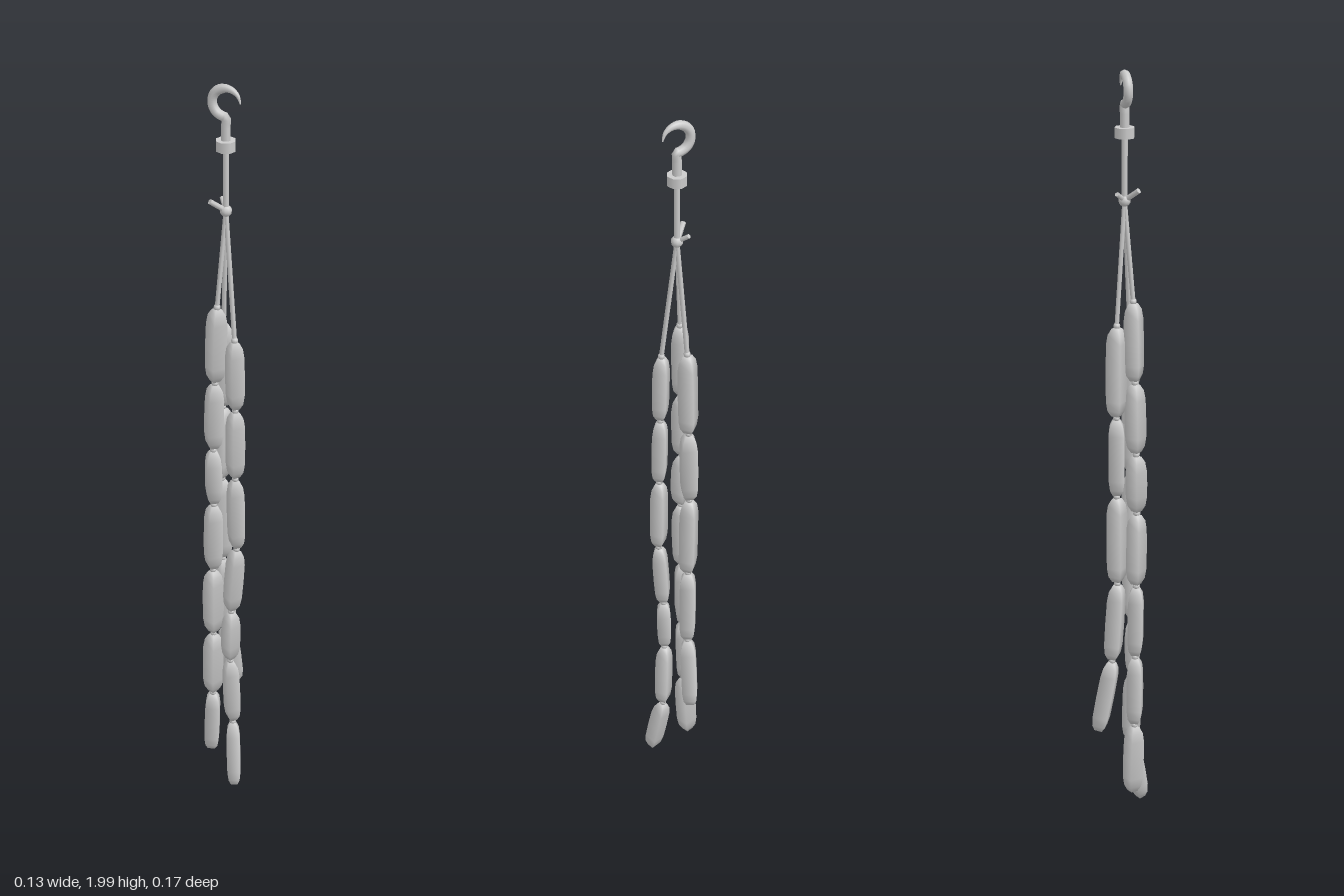
import * as THREE from 'three';

const material = new THREE.MeshStandardMaterial({ color: 0xcccccc, side: THREE.DoubleSide });
const V = (p) => new THREE.Vector3(...p);
const UP = new THREE.Vector3(0, 1, 0);

function add(parent, name, geometry, position = [0, 0, 0]) {
  const mesh = new THREE.Mesh(geometry, material);
  mesh.name = name;
  mesh.position.set(...position);
  parent.add(mesh);
  return mesh;
}

// Straight cord between two points
function cord(parent, name, a, b, radius) {
  const from = V(a), to = V(b), dir = to.clone().sub(from);
  const mesh = add(parent, name, new THREE.CylinderGeometry(radius, radius, dir.length(), 6));
  mesh.position.copy(from).add(to).multiplyScalar(0.5);
  mesh.quaternion.setFromUnitVectors(UP, dir.normalize());
}

// Four-sided smooth sausage between two points, twisted about its own axis
function sausage(parent, a, b, radius, twist) {
  const from = V(a), to = V(b), dir = to.clone().sub(from);
  const L = dir.length() - 0.006, h = L / 2;
  const half = [[0.004, h], [radius * 0.5, h - 0.003], [radius * 0.85, h - 0.018], [radius, h - 0.042]];
  const profile = [
    ...half.map(([r, y]) => new THREE.Vector2(r, -y)),
    new THREE.Vector2(radius * 1.03, 0),
    ...half.slice().reverse().map(([r, y]) => new THREE.Vector2(r, y)),
  ];
  const geometry = new THREE.LatheGeometry(profile, 4);
  geometry.rotateY(twist);
  const mesh = add(parent, 'sausage', geometry);
  mesh.position.copy(from).add(to).multiplyScalar(0.5);
  mesh.quaternion.setFromUnitVectors(UP, dir.normalize());
}

// Joint positions down each string of sausages
const chains = [
  { name: 'backChain', radius: 0.028, twist: 0.6, joints: [
    [-0.022, 1.365, -0.018], [-0.026, 1.125, -0.02], [-0.028, 0.915, -0.02], [-0.026, 0.675, -0.018],
    [-0.02, 0.455, -0.03], [-0.012, 0.25, -0.066]] },
  { name: 'leftChain', radius: 0.025, twist: 0.3, joints: [
    [0.026, 1.345, 0.028], [0.029, 1.15, 0.03], [0.031, 0.955, 0.034], [0.034, 0.745, 0.032],
    [0.02, 0.55, 0.034], [0.018, 0.395, 0.035], [0.024, 0.195, 0.032], [0.043, 0.008, 0.066]] },
  { name: 'rightChain', radius: 0.027, twist: 0.9, joints: [
    [-0.022, 1.425, 0.024], [-0.027, 1.215, 0.027], [-0.031, 1.025, 0.03], [-0.029, 0.865, 0.032],
    [-0.033, 0.665, 0.03], [-0.033, 0.465, 0.028], [-0.036, 0.27, 0.026], [-0.044, 0.075, 0.018]] },
];

export function createModel() {
  const model = new THREE.Group();
  model.name = 'hangingSausages';
  const cx = -0.006, cz = 0.006;

  // Hook: tapered tube running from the stem round to the pointed tip
  const path = [[cx, 1.855, cz], [cx, 1.895, cz], [cx, 1.917, cz]];
  for (let i = 0; i <= 8; i++) {
    const a = -1.75 - i * 0.56;
    path.push([-0.005 + 0.036 * Math.cos(a), 1.953 + 0.036 * Math.sin(a), cz]);
  }
  const curve = new THREE.CatmullRomCurve3(path.map(V));
  const steps = 36, sides = 8;
  const hook = new THREE.TubeGeometry(curve, steps, 0.012, sides);
  const pos = hook.attributes.position;
  for (let i = 0; i <= steps; i++) {
    const centre = curve.getPointAt(i / steps);
    const taper = Math.min(1, 0.15 + (1 - i / steps) * 3);
    for (let j = 0; j <= sides; j++) {
      const k = i * (sides + 1) + j;
      const p = new THREE.Vector3().fromBufferAttribute(pos, k).sub(centre).multiplyScalar(taper).add(centre);
      pos.setXYZ(k, p.x, p.y, p.z);
    }
  }
  add(model, 'hook', hook);

  // Collar and rod under the hook
  add(model, 'collar', new THREE.CylinderGeometry(0.025, 0.025, 0.026, 8), [cx, 1.847, cz]);
  add(model, 'rod', new THREE.CylinderGeometry(0.008, 0.008, 0.16, 8), [cx, 1.755, cz]);

  // Knot with its loose ends
  const knot = [cx, 1.678, cz];
  add(model, 'knot', new THREE.SphereGeometry(0.015, 10, 8), knot);
  cord(model, 'looseEnd', knot, [-0.036, 1.708, 0.034], 0.007);
  cord(model, 'looseEnd', knot, [-0.026, 1.7, -0.018], 0.006);

  // Three strings, each hanging from the knot by a cord
  for (const { name, radius, twist, joints } of chains) {
    const chain = new THREE.Group();
    chain.name = name;
    model.add(chain);
    cord(chain, 'cord', knot, joints[0], 0.006);
    joints.forEach((joint, i) => {
      if (i < joints.length - 1) {
        add(chain, 'link', new THREE.SphereGeometry(0.009, 8, 6), joint);
        sausage(chain, joint, joints[i + 1], radius, twist + i * 0.45);
      }
    });
  }
  return model;
}
